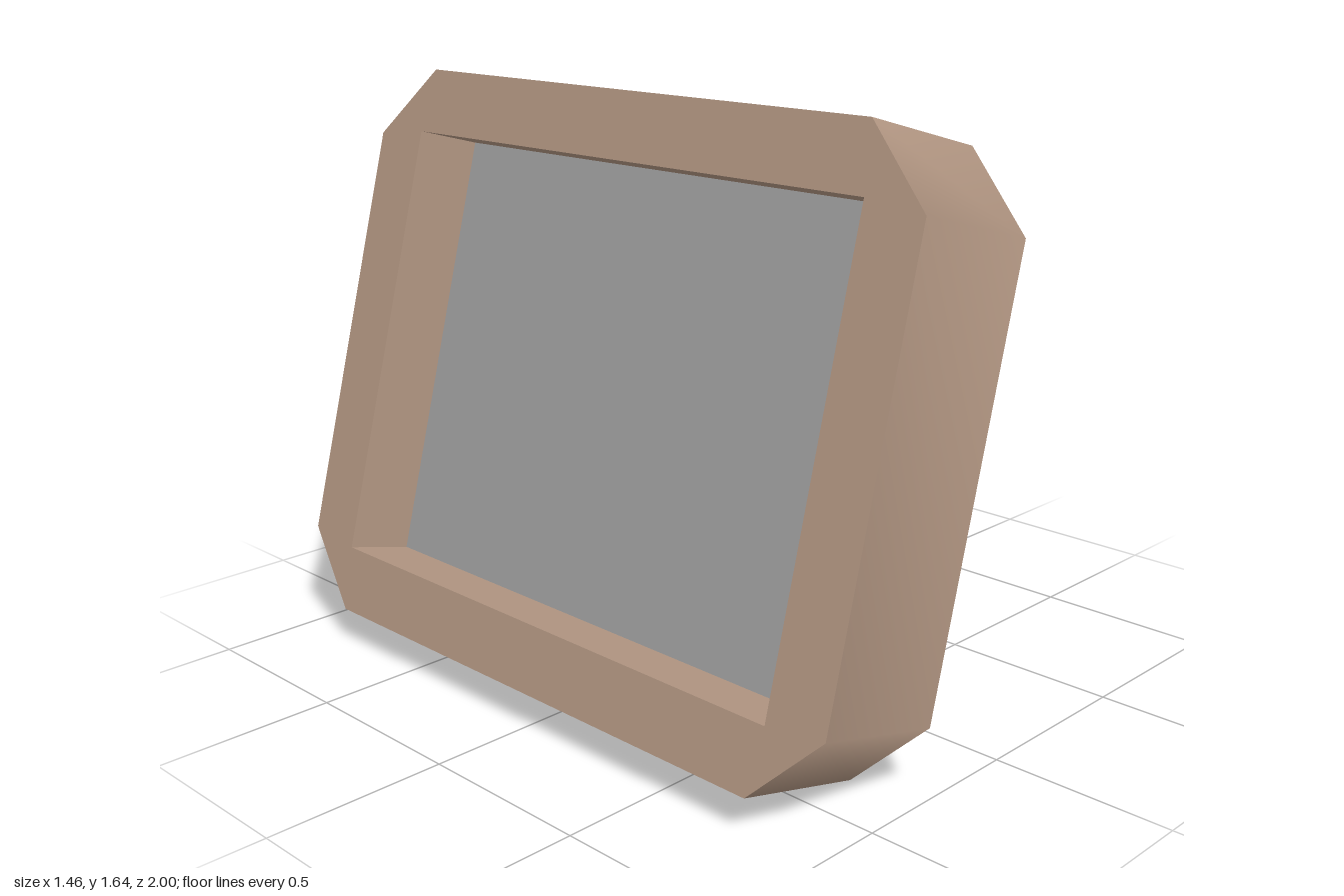
import * as THREE from 'three';

const W = 1, H = 1.59, CUT = 0.2, DEPTH = 0.4, MARGIN = 0.18, RECESS = 0.2;
const TILT = THREE.MathUtils.degToRad(14.95);

const toPoints = (list) => list.map(([x, y]) => new THREE.Vector2(x, y));

// Closed band joining an anticlockwise loop at z0 to the same loop at z1, facing outwards
function band(points, z0, z1) {
  const positions = [], index = [], n = points.length;
  for (let i = 0; i < n; i++) {
    const { x, y } = points[i], a = 2 * i, b = 2 * ((i + 1) % n);
    positions.push(x, y, z0, x, y, z1);
    index.push(a, b, b + 1, a, b + 1, a + 1);
  }
  const geometry = new THREE.BufferGeometry();
  geometry.setAttribute('position', new THREE.Float32BufferAttribute(positions, 3));
  geometry.setIndex(index);
  geometry.computeVertexNormals();
  return geometry;
}

export function createModel() {
  const wood = new THREE.MeshStandardMaterial({ color: 0xb39783 });
  wood.name = 'wood';
  const standWood = new THREE.MeshStandardMaterial({ color: 0xb39783, side: THREE.DoubleSide });
  standWood.name = 'standWood';
  const grey = new THREE.MeshStandardMaterial({ color: 0xa0a0a0 });
  grey.name = 'pictureGrey';

  const model = new THREE.Group();
  model.name = 'pictureFrame';

  // Frame is built upright facing +z, then turned to face -x and leant back
  const frame = new THREE.Group();
  frame.name = 'frame';
  frame.rotation.set(0, -Math.PI / 2, -TILT, 'ZYX');
  frame.position.set(-0.34, 0, 0);
  model.add(frame);

  const add = (parent, name, geometry, material) => {
    const mesh = new THREE.Mesh(geometry, material);
    mesh.name = name;
    parent.add(mesh);
    return mesh;
  };

  const outline = toPoints([
    [-W + CUT, 0], [W - CUT, 0], [W, CUT], [W, H - CUT],
    [W - CUT, H], [-W + CUT, H], [-W, H - CUT], [-W, CUT],
  ]);
  const ix = W - MARGIN, y0 = MARGIN, y1 = H - MARGIN;
  const opening = toPoints([[-ix, y0], [-ix, y1], [ix, y1], [ix, y0]]);

  // Outer rim, softly shaded around the corners
  add(frame, 'rim', band(outline, 0, DEPTH), wood);

  // Front border with the opening cut out
  const border = new THREE.Shape(outline);
  border.holes.push(new THREE.Path(opening));
  add(frame, 'frontBorder', new THREE.ShapeGeometry(border), wood).position.z = DEPTH;

  // Back board
  add(frame, 'backBoard', new THREE.ShapeGeometry(new THREE.Shape(outline)), wood).rotation.y = Math.PI;

  // Recess walls face inwards (clockwise loop) with crisp corners
  const walls = band(opening, DEPTH - RECESS, DEPTH).toNonIndexed();
  walls.computeVertexNormals();
  add(frame, 'recessWalls', walls, wood);

  // Picture at the bottom of the recess
  add(frame, 'picture', new THREE.PlaneGeometry(2 * ix, y1 - y0), grey)
    .position.set(0, H / 2, DEPTH - RECESS);

  // Thin stand sloping from the back board down to the ground
  const top = new THREE.Vector2(-0.08, 0.99), foot = new THREE.Vector2(0.73, 0.04);
  const length = top.distanceTo(foot), wide = length * 0.82;
  const leg = new THREE.Shape(toPoints([
    [0.2, 0], [-0.2, 0], [-0.4, -wide], [-0.2, -length], [0.2, -length], [0.4, -wide],
  ]));
  const stand = add(model, 'stand', new THREE.ShapeGeometry(leg), standWood);
  stand.rotation.set(0, Math.PI / 2, Math.atan2(foot.x - top.x, top.y - foot.y), 'ZYX');
  stand.position.set(top.x, top.y, 0);

  return model;
}
